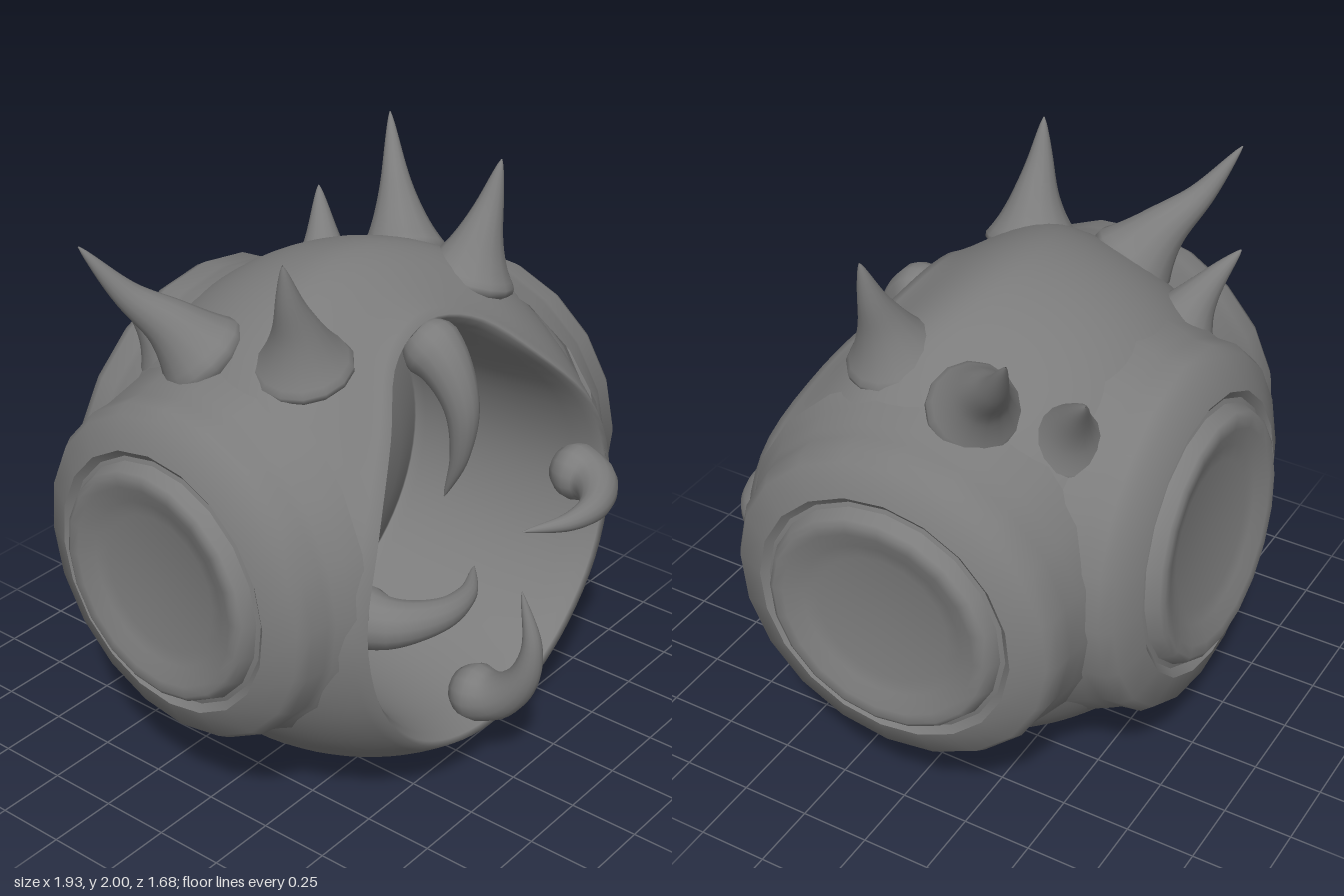
import * as THREE from 'three';
import { mergeVertices, toCreasedNormals } from 'three/addons/utils/BufferGeometryUtils.js';

const V = (x, y, z) => new THREE.Vector3(x, y, z);
const { lerp, smoothstep, clamp } = THREE.MathUtils;
const CENTER = V(0, 0.9, 0.08);
const RADIUS = 0.9;
const material = new THREE.MeshStandardMaterial({ color: 0x7c7c7c, side: THREE.DoubleSide });

function add(parent, name, geometry) {
  const mesh = new THREE.Mesh(geometry, material);
  mesh.name = name;
  parent.add(mesh);
  return mesh;
}

// Teardrop edge of the front opening, top round to bottom and back
function rimCurve() {
  const half = [[0.22, 1.59, 0.38], [0.4, 1.43, 0.5], [0.6, 1.19, 0.61], [0.69, 0.9, 0.64],
    [0.63, 0.6, 0.65], [0.46, 0.37, 0.65], [0.25, 0.24, 0.65]].map(p => V(...p));
  const mirrored = half.map(p => V(-p.x, p.y, p.z)).reverse();
  return new THREE.CatmullRomCurve3([V(0, 1.65, 0.34), ...half, V(0, 0.19, 0.65), ...mirrored], true);
}

// Hollow ball: each meridian runs from the back pole to the rim, then into the cavity
function bodyGeometry() {
  const COLS = 72, OUTER = 40;
  const rim = rimCurve();
  // cavity steps: share of the way from the rim to the floor circle, depth share
  const cavity = [[0.1, 0.02], [0.25, 0.06], [0.4, 0.16], [0.6, 0.4], [0.85, 0.78], [0.95, 0.95], [1, 1]];
  // domed floor: radius, z
  const floor = [[0.57, -0.14], [0.5, -0.105], [0.4, -0.07], [0.25, -0.035], [0.1, -0.02], [0, -0.018]];
  const rows = OUTER + 1 + cavity.length + floor.length;
  const pos = [], index = [];

  for (let i = 0; i < COLS; i++) {
    const p = rim.getPoint(i / COLS).sub(CENTER);
    const r = Math.hypot(p.x, p.y), dx = p.x / r, dy = p.y / r;
    const put = (radial, z) => pos.push(dx * radial, CENTER.y + dy * radial, z);
    const endAngle = Math.PI - Math.atan2(r, p.z);
    for (let j = 0; j <= OUTER; j++) {
      const t = j / OUTER, a = t * endAngle;
      const R = lerp(RADIUS, p.length(), smoothstep(t, 0.74, 1));
      // flattened where the ports sit
      const x = clamp(dx * R * Math.sin(a), -0.82, 0.82);
      const z = Math.max(CENTER.z - R * Math.cos(a), -0.66);
      pos.push(x, CENTER.y + dy * R * Math.sin(a), z);
    }
    const rimZ = p.z + CENTER.z;
    for (const [s, d] of cavity) put(lerp(r, 0.58, s), lerp(rimZ, -0.14, d));
    for (const [fr, fz] of floor) put(fr, fz);
  }
  for (let i = 0; i < COLS; i++) {
    for (let j = 0; j < rows - 1; j++) {
      const a = i * rows + j, b = ((i + 1) % COLS) * rows + j;
      index.push(a, a + 1, b, b, a + 1, b + 1);
    }
  }
  let geo = new THREE.BufferGeometry();
  geo.setAttribute('position', new THREE.Float32BufferAttribute(pos, 3));
  geo.setIndex(index);
  geo = mergeVertices(geo, 1e-5);
  geo.computeVertexNormals();
  return geo;
}

// Round port (axis +y): skirt that follows the ball, bevelled ring, raised lip, shallow dish.
// "ball" is the ball's centre seen from the port.
function portGeometry(ball, scale) {
  const RING = 0.76;
  const profile = [[0.665, 0], [0.635, 0.3], [0.61, 0.7], [0.595, 1]].map(([r, share]) => [r, RING, share]);
  profile.push([0.59, 0.83], [0.565, 0.87], [0.46, 0.915], [0.435, 0.895], [0.42, 0.9],
    [0.402, 0.945], [0.385, 0.955], [0.35, 0.952], [0.29, 0.925], [0.24, 0.915], [0, 0.905]);
  const geo = new THREE.LatheGeometry(profile.map(([r, h]) => new THREE.Vector2(r * scale, h)), 20);
  const pos = geo.attributes.position;
  for (let n = 0; n < pos.count; n++) {
    const share = profile[n % profile.length][2];
    if (share === undefined) continue;
    const d2 = (pos.getX(n) - ball.x) ** 2 + (pos.getZ(n) - ball.z) ** 2;
    const onBall = ball.y + Math.sqrt(Math.max(0.87 ** 2 - d2, 0.04));
    pos.setY(n, lerp(onBall, RING, share));
  }
  return toCreasedNormals(geo, 0.8);
}

// Tapered horn along a curve, with a flared, rounded root
function hornGeometry(points, base, flare) {
  const N = 26, SIDES = 14;
  const curve = new THREE.CatmullRomCurve3(points.map(p => V(...p)));
  let geo = new THREE.TubeGeometry(curve, N, 1, SIDES, false);
  const pos = geo.attributes.position, v = V(0, 0, 0);
  for (let i = 0; i <= N; i++) {
    const t = i / N, c = curve.getPointAt(t);
    const root = Math.sqrt(Math.min(1, t / 0.14));
    const r = root * (base * Math.pow(1 - t, 0.8) + flare * Math.pow(1 - t, 4)) + 0.002;
    for (let k = 0; k <= SIDES; k++) {
      const n = i * (SIDES + 1) + k;
      v.fromBufferAttribute(pos, n).sub(c).multiplyScalar(r).add(c);
      pos.setXYZ(n, v.x, v.y, v.z);
    }
  }
  geo.deleteAttribute('uv');
  geo.deleteAttribute('normal');
  geo = mergeVertices(geo, 1e-5);
  geo.computeVertexNormals();
  return geo;
}

export function createModel() {
  const model = new THREE.Group();
  model.name = 'spikedBall';
  add(model, 'body', bodyGeometry());

  // Ports on both sides and the back, each tilted a little
  const ports = [
    ['leftPort', V(1, 0, -0.05), V(-0.01, 0.93, 0), 1],
    ['rightPort', V(-1, 0, -0.05), V(0.01, 0.93, 0), 1],
    ['backPort', V(0, 0.07, -1), V(0, 0.89, 0.145), 1.08],
  ];
  for (const [name, axis, at, scale] of ports) {
    const turn = new THREE.Quaternion().setFromUnitVectors(V(0, 1, 0), axis.normalize());
    const ball = CENTER.clone().sub(at).applyQuaternion(turn.clone().invert());
    const mesh = add(model, name, portGeometry(ball, scale));
    mesh.quaternion.copy(turn);
    mesh.position.copy(at);
  }

  // Claws curling over the opening
  const sideClaw = [[0.61, 0.9, 0.46], [0.585, 0.9, 0.64], [0.45, 0.9, 0.735], [0.3, 0.9, 0.735], [0.14, 0.9, 0.65]];
  const claws = {
    topClaw: [[0, 1.6, 0.27], [0, 1.52, 0.4], [0, 1.38, 0.48], [0, 1.2, 0.48], [0, 1.02, 0.42]],
    bottomClaw: [[0, 0.28, 0.48], [0, 0.31, 0.66], [0, 0.42, 0.765], [0, 0.57, 0.8], [0, 0.77, 0.75]],
    leftClaw: sideClaw,
    rightClaw: sideClaw.map(([x, y, z]) => [-x, y, z]),
  };
  for (const [name, path] of Object.entries(claws)) add(model, name, hornGeometry(path, 0.09, 0.045));

  // Mirrored pairs of spikes on top
  const spikes = [
    ['FrontSpike', [[0.42, 1.54, 0.17], [0.48, 1.73, 0.19], [0.53, 1.86, 0.2], [0.57, 2, 0.21]], 0.11, 0.13],
    ['MiddleSpike', [[0.49, 1.5, -0.13], [0.59, 1.67, -0.24], [0.69, 1.79, -0.34], [0.79, 1.96, -0.44]], 0.1, 0.13],
    ['BackSpike', [[0.37, 1.4, -0.4], [0.43, 1.54, -0.46], [0.48, 1.63, -0.51], [0.54, 1.72, -0.57]], 0.1, 0.1],
  ];
  for (const [name, path, base, flare] of spikes) {
    for (const side of [1, -1]) {
      const mirrored = path.map(([x, y, z]) => [x * side, y, z]);
      add(model, (side > 0 ? 'left' : 'right') + name, hornGeometry(mirrored, base, flare));
    }
  }
  return model;
}
